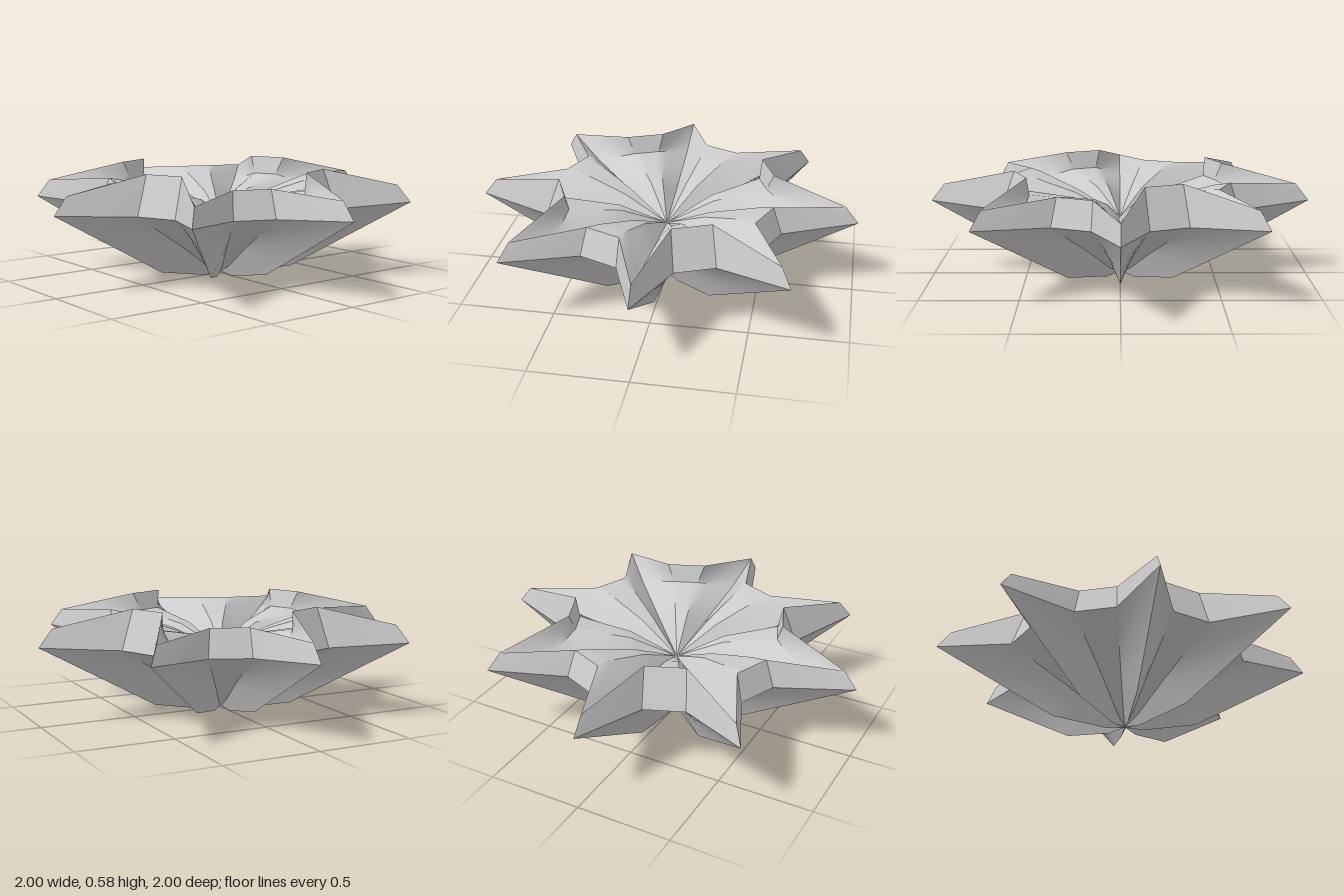
import * as THREE from 'three';
import { toCreasedNormals } from 'three/addons/utils/BufferGeometryUtils.js';

// Profiles run from the bottom centre, out over the rim, to the top centre.
// Each entry is [radius, height, offset from the petal axis in degrees].
const petalAxis = [
  [0, 0.01, 0], [0.1, 0, 0], [0.38, 0.05, 0], [1, 0.4, 0], [0.93, 0.49, 0],
  [0.68, 0.42, 0], [0.3, 0.355, 0], [0.1, 0.325, 0], [0, 0.31, 0],
];
const lowNotch = [
  [0, 0.01, 13], [0.1, 0.05, 13], [0.3, 0.18, 13], [0.633, 0.378, 12.8], [0.585, 0.52, 13],
  [0.5, 0.507, 14], [0.25, 0.43, 15], [0.1, 0.36, 15], [0, 0.31, 15],
];
// The raised notches carry an upright lip with a step down on the inside.
const raisedNotch = lowNotch.map((p) => [...p]);
raisedNotch[4] = [0.56, 0.58, 12];
raisedNotch[5] = [0.53, 0.485, 15.2];

const SUB = 4;

function place(profile, axisDeg, side) {
  return profile.map(([r, y, off]) => {
    const a = THREE.MathUtils.degToRad(axisDeg + side * off);
    return new THREE.Vector3(r * Math.sin(a), y, r * Math.cos(a));
  });
}

// Add a triangle unless it collapses at the centre.
function addTriangle(out, a, b, c) {
  if (new THREE.Triangle(a, b, c).getArea() < 1e-8) return;
  for (const p of [a, b, c]) out.push(p.x, p.y, p.z);
}

// Fill the strip between two neighbouring profiles with bilinear patches.
function addStrip(out, left, right) {
  for (let j = 0; j < left.length - 1; j++) {
    const point = (u, v) => {
      const l = left[j].clone().lerp(left[j + 1], v / SUB);
      const r = right[j].clone().lerp(right[j + 1], v / SUB);
      return l.lerp(r, u / SUB);
    };
    for (let u = 0; u < SUB; u++) {
      for (let v = 0; v < SUB; v++) {
        const a = point(u, v), b = point(u + 1, v);
        const c = point(u + 1, v + 1), d = point(u, v + 1);
        addTriangle(out, a, b, c);
        addTriangle(out, a, c, d);
      }
    }
  }
}

export function createModel() {
  const group = new THREE.Group();
  group.name = 'starFlower';

  // Eight petals, with raised and low notches alternating between them
  const columns = [];
  for (let i = 0; i < 8; i++) {
    const angle = i * 45;
    const notch = i % 2 === 0 ? raisedNotch : lowNotch;
    columns.push(place(petalAxis, angle, 0));
    columns.push(place(notch, angle, 1));
    columns.push(place(notch, angle + 45, -1));
  }

  const positions = [];
  columns.forEach((col, i) => addStrip(positions, col, columns[(i + 1) % columns.length]));

  const geometry = new THREE.BufferGeometry();
  geometry.setAttribute('position', new THREE.Float32BufferAttribute(positions, 3));
  const petals = new THREE.Mesh(
    toCreasedNormals(geometry, THREE.MathUtils.degToRad(35)),
    new THREE.MeshStandardMaterial({ color: 0xcccccc }),
  );
  petals.name = 'petals';
  group.add(petals);
  return group;
}
